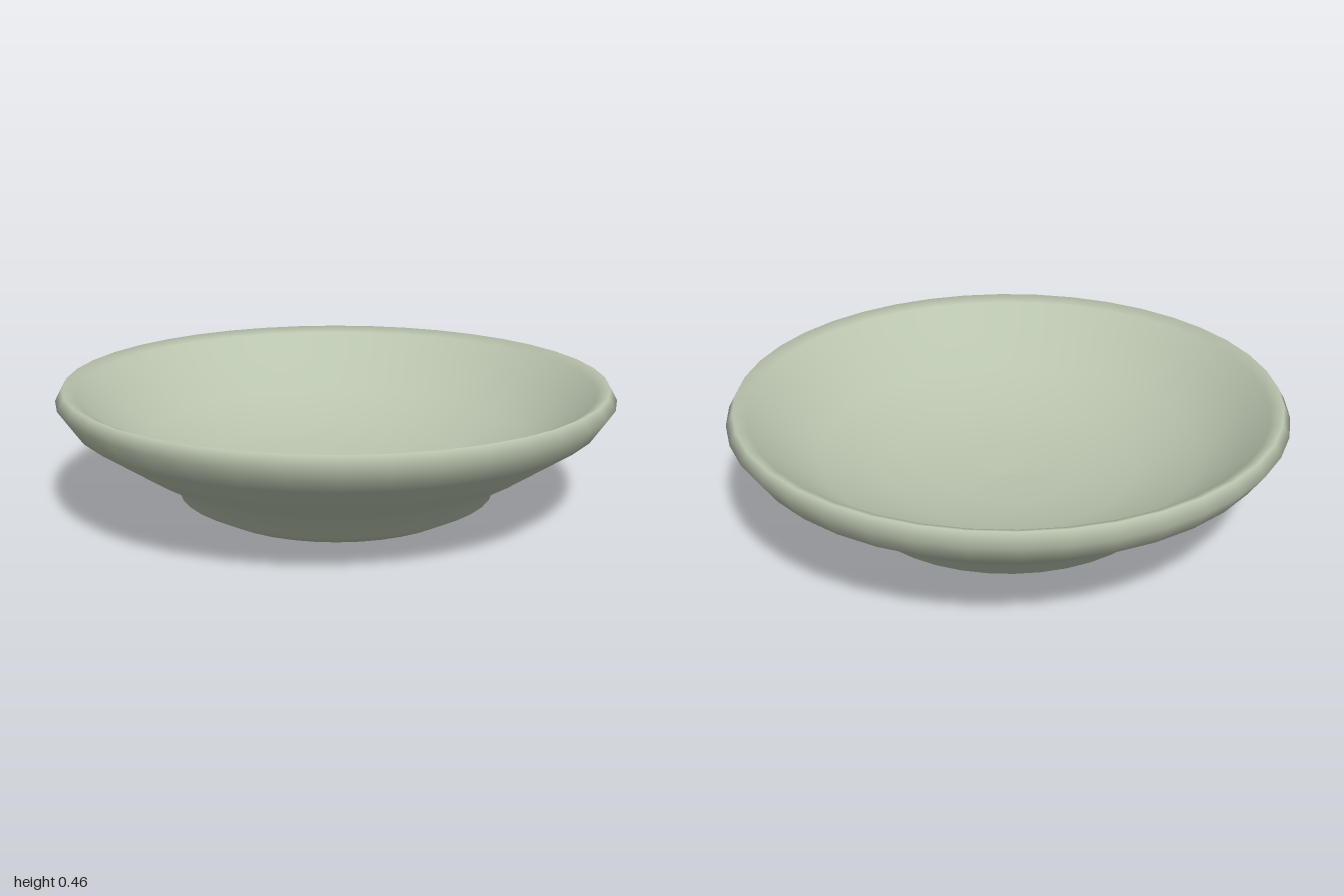
import * as THREE from 'three';

export function createModel() {
  const group = new THREE.Group();
  group.name = 'bowl';
  const glaze = new THREE.MeshStandardMaterial({ color: 0xb9c4ae });
  glaze.name = 'pale sage glaze';

  // Revolve a [radius, height] profile into a smooth surface
  const addLathe = (name, profile) => {
    const points = profile.map(([r, y]) => new THREE.Vector2(r, y));
    const mesh = new THREE.Mesh(new THREE.LatheGeometry(points, 40), glaze);
    mesh.name = name;
    group.add(mesh);
  };

  // One continuous skin: flat base, foot ring, flared wall, rounded rim, hollow
  addLathe('dish', [
    [0, 0], [0.48, 0], [0.575, 0.05], [0.575, 0.105], // base and foot
    [0.71, 0.17], [0.945, 0.33], [1, 0.41], // outer wall
    [0.975, 0.455], [0.93, 0.435], // rim
    [0.86, 0.36], [0.69, 0.24], [0.46, 0.16], [0.23, 0.125], [0, 0.115], // hollow
  ]);
  return group;
}
